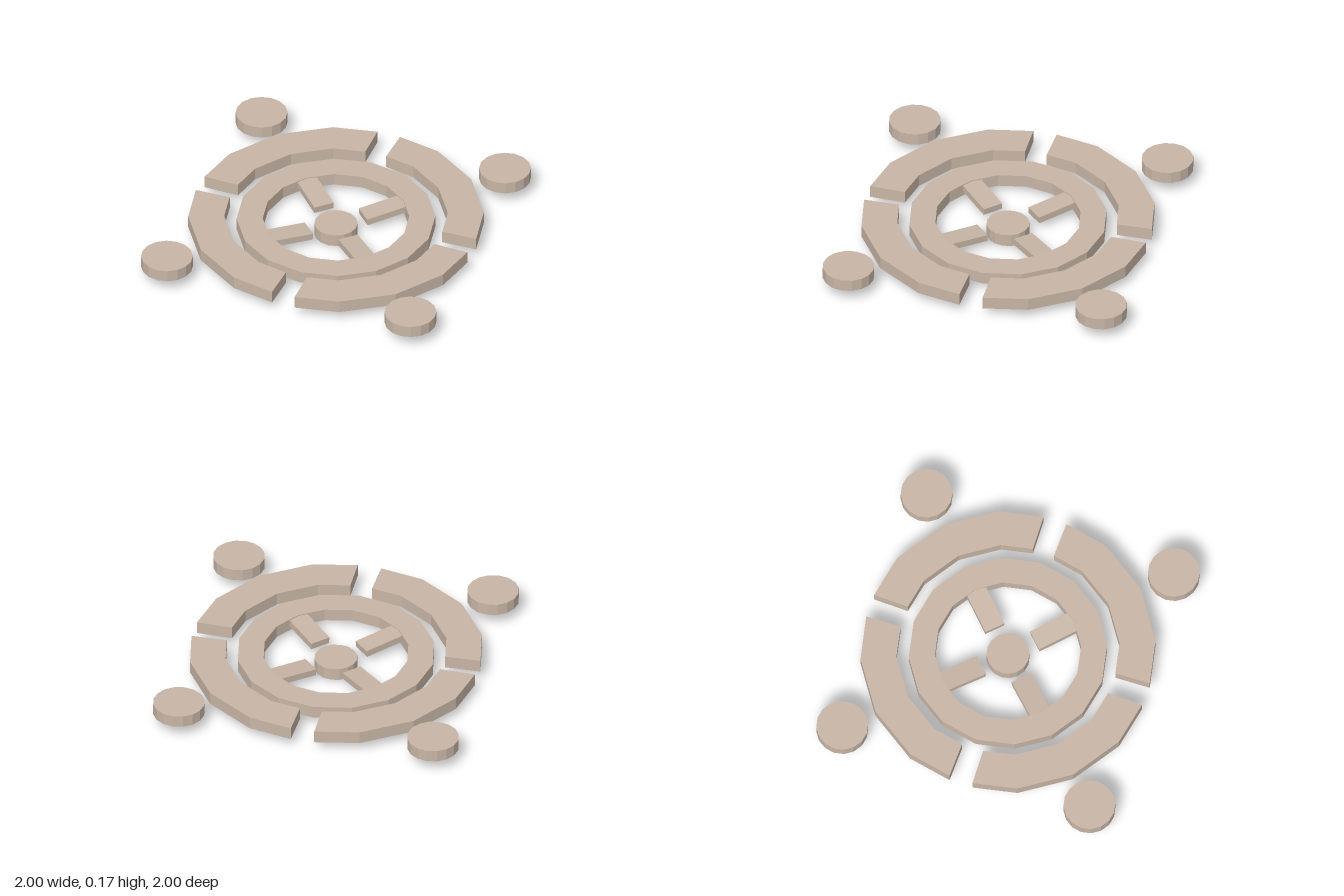
import * as THREE from 'three';

const material = new THREE.MeshStandardMaterial({ color: 0xc8b6a6, flatShading: true });
const SIDES = 16;

// Point on a faceted circle, by facet index
const ringPoint = (radius, i) => {
  const a = (i / SIDES) * Math.PI * 2;
  return new THREE.Vector2(Math.cos(a) * radius, Math.sin(a) * radius);
};

const circlePoints = (radius) => Array.from({ length: SIDES }, (_, i) => ringPoint(radius, i));

// Flat plate lying on the ground plane, from y = bottom to y = top
function plate(shape, bottom, top) {
  const geometry = new THREE.ExtrudeGeometry(shape, { depth: top - bottom, bevelEnabled: false });
  return geometry.rotateX(-Math.PI / 2).translate(0, bottom, 0);
}

function disc(radius, bottom, top) {
  return new THREE.CylinderGeometry(radius, radius, top - bottom, SIDES).translate(0, (bottom + top) / 2, 0);
}

export function createModel() {
  const model = new THREE.Group();
  const add = (name, geometry) => {
    const mesh = new THREE.Mesh(geometry, material);
    mesh.name = name;
    model.add(mesh);
    return mesh;
  };

  // Central hub
  add('hub', disc(0.138, 0, 0.083));

  // Inner ring
  const ring = new THREE.Shape(circlePoints(0.635));
  ring.holes.push(new THREE.Path(circlePoints(0.468).reverse()));
  add('innerRing', plate(ring, 0.045, 0.127));

  // Quarter of the outer ring, cut short to leave a gap at each end
  const arc = new THREE.Shape([
    new THREE.Vector2(0.93, 0.077),
    ...[1, 2, 3].map((i) => ringPoint(0.944, i)),
    new THREE.Vector2(0.077, 0.93),
    new THREE.Vector2(0.071, 0.7),
    ...[3, 2, 1].map((i) => ringPoint(0.714, i)),
    new THREE.Vector2(0.7, 0.071),
  ]);
  const arcGeometry = plate(arc, 0.067, 0.15);

  // Spoke rising slightly towards the ring
  const spokeGeometry = new THREE.BoxGeometry(0.31, 0.045, 0.134)
    .rotateZ(0.085)
    .translate(0.345, 0.088, 0)
    .rotateY(Math.PI / 4);

  const cornerGeometry = disc(0.166, 0.09, 0.169).translate(0.834, 0, 0.834);

  // Four-fold repeat
  for (let i = 0; i < 4; i++) {
    const turn = (i * Math.PI) / 2;
    add('outerArc', arcGeometry).rotation.y = turn;
    add('spoke', spokeGeometry).rotation.y = turn;
    add('cornerDisc', cornerGeometry).rotation.y = turn;
  }

  return model;
}
